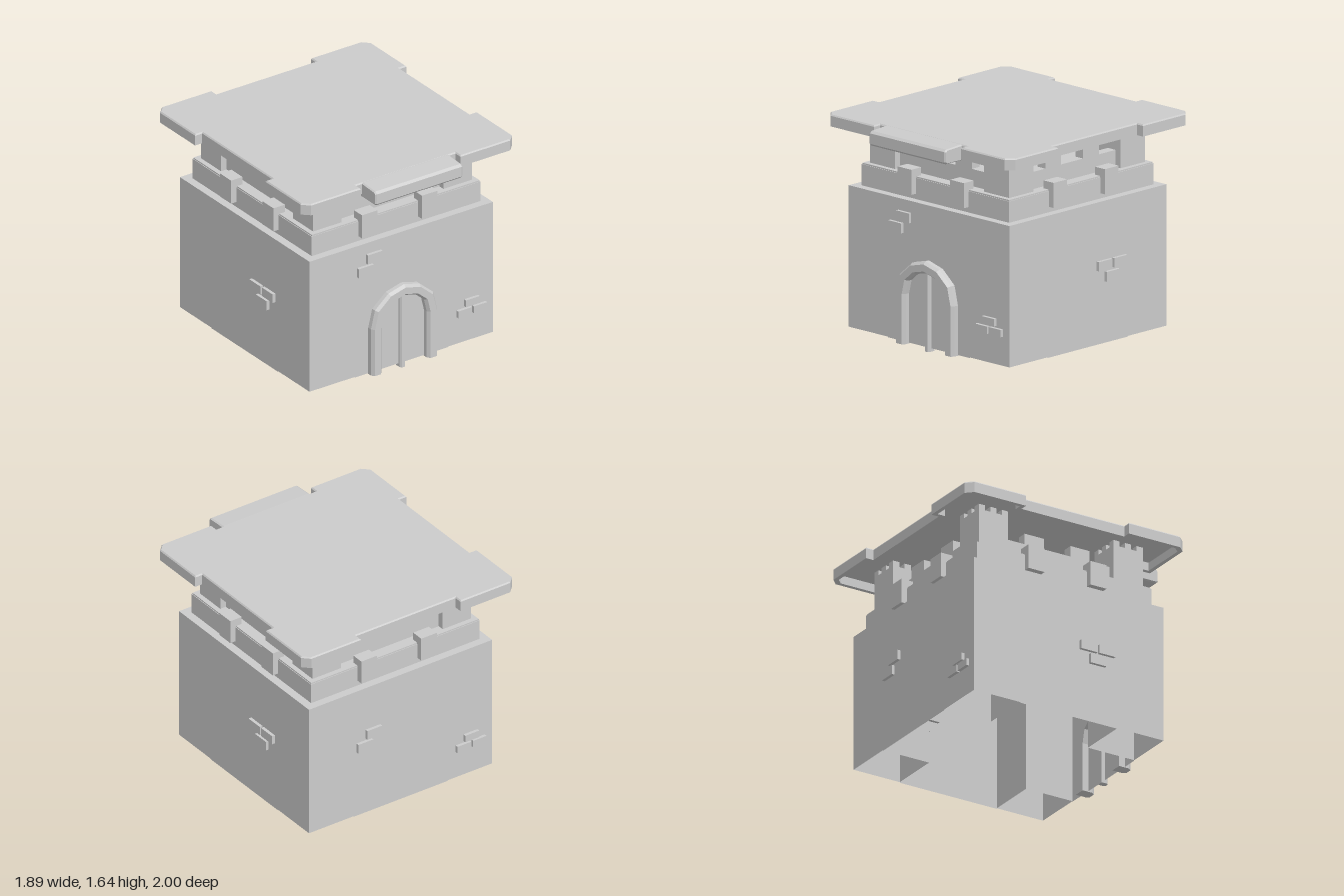
import * as THREE from 'three';

const grey = new THREE.MeshStandardMaterial({ color: 0xcccccc, flatShading: true });
const thin = new THREE.MeshStandardMaterial({ color: 0xcccccc, flatShading: true, side: THREE.DoubleSide });

function add(parent, name, geometry, material = grey) {
  const mesh = new THREE.Mesh(geometry, material);
  mesh.name = name;
  parent.add(mesh);
  return mesh;
}

// Box given by its lower and upper limits on each axis
function box(parent, name, x0, x1, y0, y1, z0, z1) {
  const mesh = add(parent, name, new THREE.BoxGeometry(x1 - x0, y1 - y0, z1 - z0));
  mesh.position.set((x0 + x1) / 2, (y0 + y1) / 2, (z0 + z1) / 2);
  return mesh;
}

const toPoints = (list) => list.map(([x, y]) => new THREE.Vector2(x, y));

// Square roof outline with a larger chamfered tile at each corner
function roofOutline(main, tile, notch, cut) {
  const quarter = [[main, notch], [tile, notch], [tile, tile - cut], [tile - cut, tile], [notch, tile], [notch, main]];
  const points = [];
  for (let i = 0; i < 4; i++) {
    for (const point of toPoints(quarter)) {
      points.push(point.rotateAround(new THREE.Vector2(), i * Math.PI / 2));
    }
  }
  return points;
}

// Mirrors half an arch (foot up to crown) into a full point list
function archPoints(half) {
  const left = half.slice(0, -1).reverse().map(([x, y]) => [-x, y]);
  return toPoints([...half, ...left]);
}

// Sweeps a section of [inner-to-outer fraction, z] along the arch
function archGeometry(inner, outer, section) {
  const positions = [];
  const corner = (j, k) => {
    const [t, z] = section[k % section.length];
    const p = inner[j].clone().lerp(outer[j], t);
    return [p.x, p.y, z];
  };
  const triangle = (a, b, c) => positions.push(...a, ...b, ...c);
  const last = inner.length - 1;
  for (let j = 0; j < last; j++) {
    for (let k = 0; k < section.length; k++) {
      triangle(corner(j, k), corner(j, k + 1), corner(j + 1, k + 1));
      triangle(corner(j, k), corner(j + 1, k + 1), corner(j + 1, k));
    }
  }
  // Feet of the arch
  for (let k = 1; k < section.length - 1; k++) {
    triangle(corner(0, 0), corner(0, k + 1), corner(0, k));
    triangle(corner(last, 0), corner(last, k), corner(last, k + 1));
  }
  const geometry = new THREE.BufferGeometry();
  geometry.setAttribute('position', new THREE.Float32BufferAttribute(positions, 3));
  geometry.computeVertexNormals();
  return geometry;
}

export function createModel() {
  const model = new THREE.Group();
  model.name = 'gatehouse';
  const keep = new THREE.Group();
  keep.name = 'keep';
  keep.position.z = -0.05;
  model.add(keep);

  // Hollow corner piers, open below, and towers with small crenels under the roof
  const pierGeometry = new THREE.CylinderGeometry(0.2 * Math.SQRT2, 0.2 * Math.SQRT2, 1.07, 4, 1, true).rotateY(Math.PI / 4);
  for (const sx of [-1, 1]) {
    for (const sz of [-1, 1]) {
      add(keep, 'cornerPier', pierGeometry, thin).position.set(sx * 0.62, 0.565, sz * 0.62);
      const tower = new THREE.Group();
      tower.name = 'cornerTower';
      tower.position.set(sx * 0.5825, 0, sz * 0.5825);
      keep.add(tower);
      box(tower, 'towerShaft', -0.1275, 0.1275, 1.1, 1.56, -0.1275, 0.1275);
      for (const x of [-0.1, 0, 0.1]) {
        for (const z of [-0.1, 0, 0.1]) {
          if (x || z) box(tower, 'towerCrenel', x - 0.0275, x + 0.0275, 1.56, 1.6, z - 0.0275, z + 0.0275);
        }
      }
    }
  }

  // Parapet base with a thin raised top
  box(keep, 'bodyTop', -0.82, 0.82, 1.08, 1.1, -0.82, 0.82);
  box(keep, 'parapet', -0.755, 0.755, 1.1, 1.26, -0.755, 0.755);
  box(keep, 'parapetTop', -0.75, 0.75, 1.26, 1.27, -0.75, 0.75);

  // Loose bricks: [centre x, centre y, width, height]
  const trio = [[0.625, 0.348, 0.125, 0.056], [0.555, 0.278, 0.125, 0.056], [0.693, 0.278, 0.12, 0.056]];
  const pair = [[-0.248, 0.973, 0.132, 0.075], [-0.328, 0.883, 0.135, 0.075]];
  const sideTrio = [[0.163, 0.62, 0.142, 0.07], [0.32, 0.62, 0.138, 0.07], [0.243, 0.528, 0.135, 0.075]];
  const lowPair = pair.map(([x, y, w, h]) => [x, y - 0.27, w, h]);
  const bricks = [[...pair, ...trio], sideTrio, [...lowPair, ...trio], sideTrio];

  // Each side: wall, bricks set through it, inner battlement and hooked merlons
  ['front', 'left', 'back', 'right'].forEach((label, i) => {
    const side = new THREE.Group();
    side.name = label + 'Side';
    side.rotation.y = i * Math.PI / 2;
    keep.add(side);
    add(side, 'wall', new THREE.PlaneGeometry(0.84, 1.075), thin).position.set(0, 0.5625, 0.82);
    for (const [x, y, w, h] of bricks[i]) {
      box(side, 'brick', x - w / 2, x + w / 2, y - h / 2, y + h / 2, 0.795, 0.845);
    }
    box(side, 'battlement', -0.46, 0.46, 1.27, 1.4, 0.58, 0.66);
    for (const s of [-1, 1]) {
      box(side, 'innerMerlon', s * 0.198 - 0.0825, s * 0.198 + 0.0825, 1.4, 1.485, 0.58, 0.66);
      box(side, 'outerMerlon', s * 0.268 - 0.07, s * 0.268 + 0.07, 1.14, 1.33, 0.7, 0.802);
    }
  });

  // Arched door frame with chamfered front edges, set through the wall
  const outer = archPoints([[0.295, 0.02], [0.295, 0.4], [0.26, 0.545], [0.14, 0.648], [0, 0.685]]);
  const inner = archPoints([[0.203, 0.02], [0.203, 0.4], [0.178, 0.505], [0.102, 0.57], [0, 0.595]]);
  const section = [[0, 0.77], [0, 0.855], [0.2, 0.88], [0.8, 0.88], [1, 0.855], [1, 0.77]];
  add(keep, 'doorFrame', archGeometry(inner, outer, section));

  // Post in the middle of the door
  const postShape = new THREE.Shape(toPoints([
    [-0.025, -0.015], [-0.013, -0.03], [0.013, -0.03], [0.025, -0.015], [0.025, 0.03], [-0.025, 0.03],
  ]));
  const postGeometry = new THREE.ExtrudeGeometry(postShape, { depth: 0.595, bevelEnabled: false }).rotateX(-Math.PI / 2);
  add(keep, 'doorPost', postGeometry).position.z = 0.82;

  // Roof: thin deck with an eased edge over a hanging rim of the same outline
  const roof = new THREE.Group();
  roof.name = 'roof';
  roof.position.z = -0.055;
  model.add(roof);
  const outline = roofOutline(0.882, 0.945, 0.445, 0.055);
  const deck = new THREE.ExtrudeGeometry(new THREE.Shape(outline), {
    depth: 0.005, bevelSize: 0.008, bevelOffset: -0.008, bevelThickness: 0.01, bevelSegments: 1,
  }).rotateX(-Math.PI / 2);
  add(roof, 'roofDeck', deck).position.y = 1.63;
  const rimShape = new THREE.Shape(outline);
  rimShape.holes.push(new THREE.Path(roofOutline(0.85, 0.913, 0.477, 0.045)));
  const rim = new THREE.ExtrudeGeometry(rimShape, { depth: 0.079, bevelEnabled: false }).rotateX(-Math.PI / 2);
  add(roof, 'roofRim', rim).position.y = 1.555;

  // Awning over the door, its top falling gently from the deck; profile is [z, y]
  const awningShape = new THREE.Shape(toPoints([
    [-0.66, 1.525], [-0.66, 1.642], [-0.83, 1.644], [-0.98, 1.636], [-1, 1.62], [-1, 1.54], [-0.985, 1.525],
  ]));
  const awning = new THREE.ExtrudeGeometry(awningShape, {
    depth: 0.756, bevelSize: 0.008, bevelOffset: -0.008, bevelThickness: 0.012, bevelSegments: 1,
  }).rotateY(Math.PI / 2);
  add(model, 'awning', awning).position.x = -0.378;
  return model;
}
